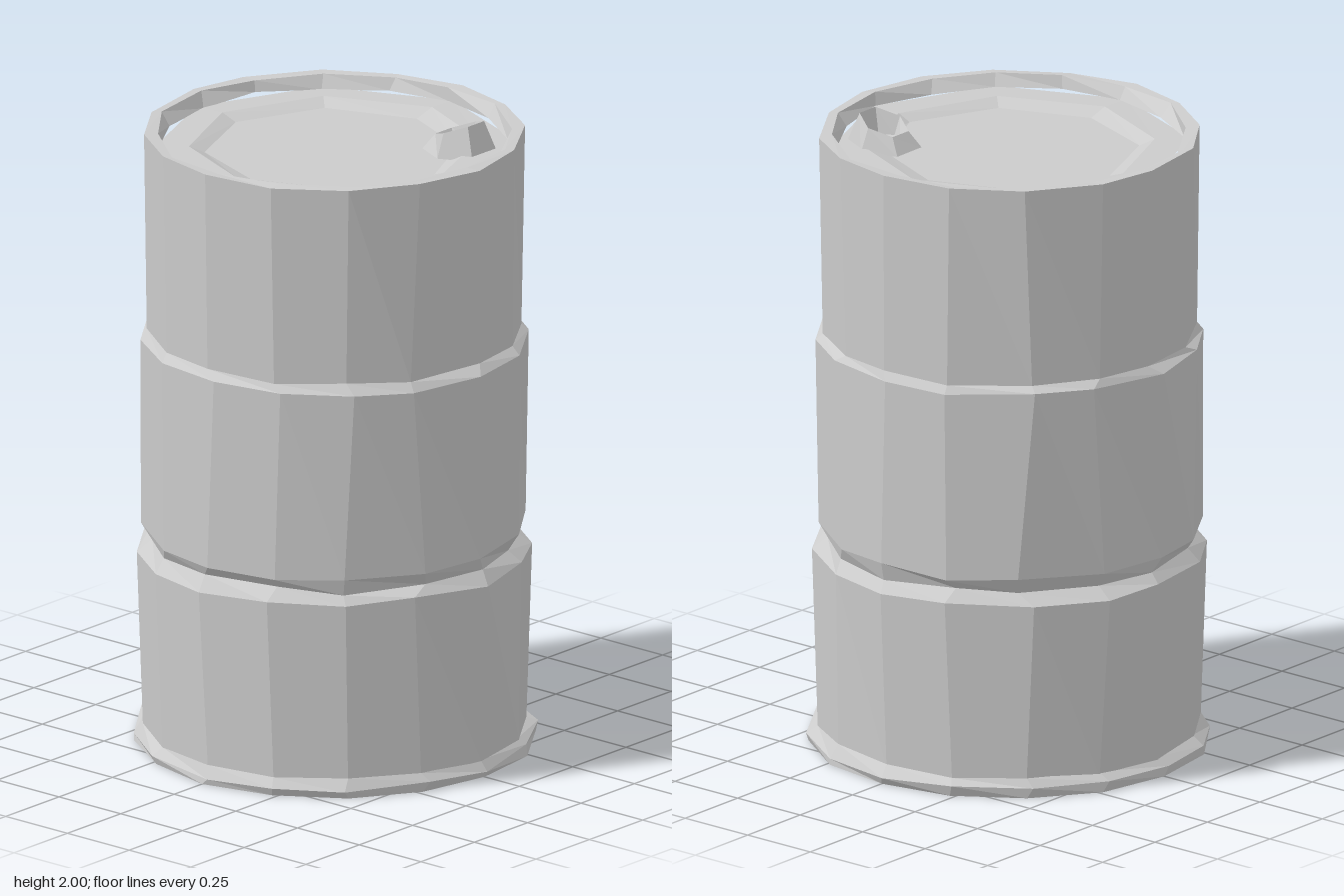
import * as THREE from 'three';

const SIDES = 16;
const material = new THREE.MeshStandardMaterial({ color: 0xcccccc, flatShading: true });

// Repeatable value in -1..1 for a ring and a side
function wobble(ring, side) {
  const s = Math.sin(ring * 12.99 + side * 78.23) * 43758.55;
  return 2 * (s - Math.floor(s)) - 1;
}

// Lathe whose rows are dented: each profile row is [radius, y, radial dent, height dent, turn dent]
function dentedLathe(rows, sides, firstRing) {
  const geo = new THREE.LatheGeometry(rows.map(([r, y]) => new THREE.Vector2(r, y)), sides);
  const pos = geo.attributes.position;
  for (let i = 0; i < pos.count; i++) {
    const row = i % rows.length;
    const side = Math.floor(i / rows.length) % sides;
    const [r, y, dr = 0, dy = 0, turn = 0] = rows[row];
    const ring = firstRing + row;
    const a = (side + turn * wobble(ring + 40, side)) * Math.PI * 2 / sides;
    const radius = r + dr * wobble(ring, side);
    pos.setXYZ(i, radius * Math.sin(a), y + dy * wobble(ring + 20, side), radius * Math.cos(a));
  }
  geo.computeVertexNormals();
  return geo;
}

function part(name, geometry) {
  const mesh = new THREE.Mesh(geometry, material);
  mesh.name = name;
  return mesh;
}

export function createModel() {
  const group = new THREE.Group();
  group.name = 'barrel';

  // Recessed base and bottom flange
  group.add(part('base', dentedLathe([
    [0, 0.06], [0.40, 0.06, 0.015], [0.46, 0.035, 0.01], [0.54, 0.035, 0.01],
    [0.575, 0.002, 0.008], [0.615, 0, 0.01], [0.622, 0.025, 0.008, 0.01, 0.1],
    [0.592, 0.055, 0.005, 0.008],
  ], SIDES, 0)));

  // Body: three drums split by a pinched groove and a narrow ledge
  group.add(part('body', dentedLathe([
    [0.592, 0.045, 0.005, 0.005], [0.606, 0.62, 0.005, 0.01, 0.12],
    [0.568, 0.652, 0.01, 0.008, 0.15], [0.592, 0.70, 0.006, 0.012, 0.12],
    [0.598, 1.295, 0.004, 0.008, 0.12], [0.575, 1.322, 0.008, 0.006, 0.12],
    [0.585, 1.955, 0.004, 0.003, 0.08], [0.552, 1.955, 0.012, 0.004, 0.1],
    [0.53, 1.915, 0.01, 0.004],
  ], SIDES, 8)));

  // Sunken lid with a shallow central panel
  group.add(part('lid', dentedLathe([
    [0.555, 1.913], [0.45, 1.915, 0.012], [0.39, 1.895, 0.012], [0, 1.895],
  ], 8, 17)));

  // Raised hexagonal filler neck, tilted slightly
  const neck = dentedLathe([
    [0.112, 1.90, 0.008], [0.076, 1.975], [0.05, 1.92], [0, 1.91],
  ], 6, 21);
  const pos = neck.attributes.position;
  for (let i = 0; i < pos.count; i++) {
    if (pos.getY(i) > 1.96) pos.setY(i, 1.975 + 0.025 * pos.getX(i) / 0.0658);
  }
  neck.computeVertexNormals();
  const filler = part('fillerNeck', neck);
  filler.position.set(0.31, 0, -0.23);
  group.add(filler);

  return group;
}
